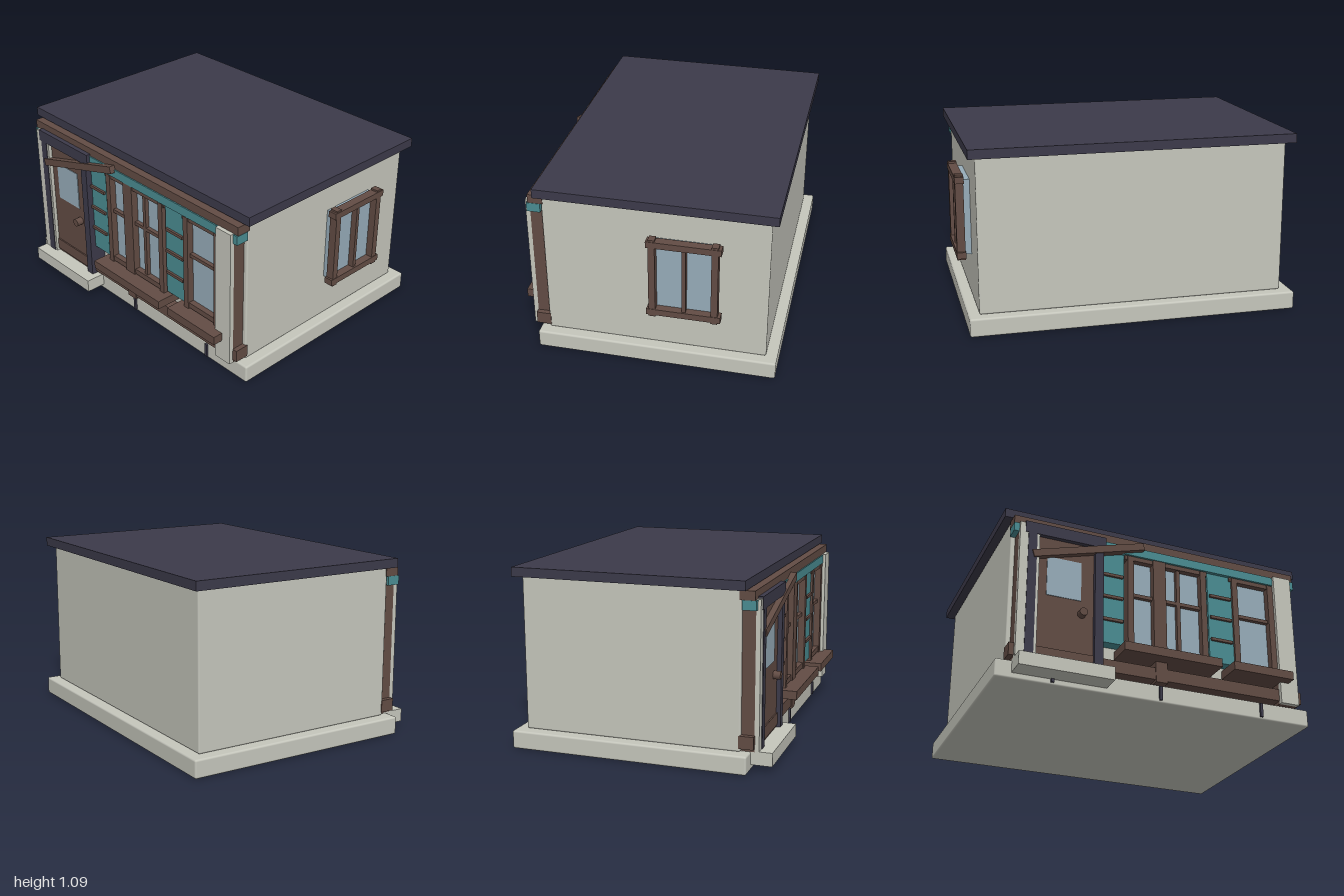
import * as THREE from 'three';
import { RoundedBoxGeometry } from 'three/addons/geometries/RoundedBoxGeometry.js';

const paint = (name, color) => {
  const m = new THREE.MeshStandardMaterial({ color });
  m.name = name;
  return m;
};

export function createModel() {
  const cream = paint('cream plaster', 0xc5c6bc);
  const brown = paint('brown timber', 0x624c44);
  const navy = paint('dark slate', 0x3c3a4a);
  const teal = paint('teal paint', 0x4a8c92);
  const glass = paint('window glass', 0x97acb9);

  const model = new THREE.Group();
  model.name = 'house';
  const group = (name) => {
    const g = new THREE.Group();
    g.name = name;
    model.add(g);
    return g;
  };

  // Box given by its limits on each axis; a radius rounds the edges
  const box = (parent, name, mat, [x0, x1], [y0, y1], [z0, z1], radius = 0) => {
    const size = [x1 - x0, y1 - y0, z1 - z0];
    const geo = radius
      ? new RoundedBoxGeometry(...size, 2, radius)
      : new THREE.BoxGeometry(...size);
    const mesh = new THREE.Mesh(geo, mat);
    mesh.name = name;
    mesh.position.set((x0 + x1) / 2, (y0 + y1) / 2, (z0 + z1) / 2);
    parent.add(mesh);
    return mesh;
  };

  // Foundation, walls and flat roof
  const shell = group('shell');
  box(shell, 'foundation', cream, [-1, 0.973], [0, 0.11], [-0.78, 0.655], 0.012);
  box(shell, 'walls', cream, [-0.93, 0.91], [0.11, 1.032], [-0.715, 0.6], 0.01);
  box(shell, 'roof', navy, [-0.98, 0.955], [1.03, 1.085], [-0.757, 0.635]);
  box(shell, 'doorStep', cream, [-0.905, -0.345], [0.035, 0.115], [0.6, 0.78]);
  for (const x of [-0.67, -0.013, 0.645]) {
    box(shell, 'foundationJoint', navy, [x - 0.009, x + 0.009], [0.015, 0.1], [0.64, 0.667]);
  }

  // Horizontal front beams and corner pillars
  const facade = group('facade');
  box(facade, 'topBeam', brown, [-0.935, 0.915], [0.972, 1.025], [0.59, 0.678]);
  box(facade, 'fascia', teal, [-0.937, 0.917], [0.917, 0.972], [0.605, 0.686]);
  box(facade, 'bottomBeam', brown, [-0.935, 0.915], [0.13, 0.205], [0.59, 0.678]);
  for (const [x0, x1] of [[-0.905, -0.785], [0.765, 0.885]]) {
    box(facade, 'cornerPost', brown, [x0, x1], [0.11, 0.975], [0.59, 0.676]);
    box(facade, 'cornerPillar', cream, [x0, x1], [0.11, 0.975], [0.676, 0.703]);
  }

  // Door with pane, kick board and knob
  const door = group('door');
  box(door, 'doorLeaf', brown, [-0.79, -0.44], [0.115, 0.972], [0.59, 0.68]);
  box(door, 'doorPane', glass, [-0.73, -0.52], [0.54, 0.79], [0.679, 0.684]);
  box(door, 'kickBoard', brown, [-0.785, -0.44], [0.13, 0.205], [0.67, 0.688]);
  const knob = new THREE.Mesh(new THREE.CylinderGeometry(0.025, 0.025, 0.045, 16), brown);
  knob.name = 'doorKnob';
  knob.rotation.x = Math.PI / 2;
  knob.position.set(-0.515, 0.455, 0.702);
  door.add(knob);

  // Dark door surround and leaning timber
  const porch = group('porch');
  for (const x of [-0.855, -0.442]) {
    box(porch, 'porchPost', navy, [x, x + 0.053], [0.115, 0.915], [0.6, 0.707]);
  }
  box(porch, 'porchLintel', navy, [-0.873, -0.373], [0.912, 0.985], [0.6, 0.707]);
  const brace = box(porch, 'leaningTimber', brown,
    [-0.838, -0.118], [0.85, 0.895], [0.66, 0.715]);
  brace.rotation.z = 0.285;
  brace.position.y = 0.876;

  // Shutters with brown slats
  const shutters = group('shutters');
  for (const [x0, x1] of [[-0.4, -0.245], [0.31, 0.475]]) {
    box(shutters, 'shutter', teal, [x0, x1], [0.315, 0.915], [0.59, 0.668]);
    for (const y of [0.463, 0.612, 0.757]) {
      box(shutters, 'slat', brown, [x0 + 0.01, x1 - 0.01], [y - 0.009, y + 0.009], [0.66, 0.682]);
    }
  }

  // Front windows: posts, mullions, rails, glass and sill
  const frontWindow = (name, [x0, x1], mullions, sill) => {
    const w = group(name);
    box(w, 'pane', glass, [x0 + 0.02, x1 - 0.02], [0.32, 0.9], [0.59, 0.64]);
    box(w, 'topRail', brown, [x0 - 0.015, x1 + 0.01], [0.888, 0.915], [0.59, 0.676]);
    box(w, 'bottomRail', brown, [x0, x1], [0.303, 0.337], [0.59, 0.676]);
    box(w, 'crossBar', brown, [x0, x1], [0.649, 0.671], [0.63, 0.665]);
    for (const x of [x0, x1 - 0.038]) {
      box(w, 'sidePost', brown, [x, x + 0.038], [0.29, 0.912], [0.59, 0.682]);
    }
    for (const m of mullions) box(w, 'mullion', brown, m, [0.32, 0.9], [0.63, 0.665]);
    box(w, 'sill', brown, sill, [0.243, 0.296], [0.59, 0.765]);
    return w;
  };
  const wide = frontWindow('wideWindow', [-0.225, 0.295], [[0.1, 0.124]], [-0.28, 0.34]);
  box(wide, 'centrePost', brown, [-0.06, 0.022], [0.3, 0.915], [0.59, 0.684]);
  box(wide, 'centrePostFoot', brown, [-0.052, 0.022], [0.115, 0.25], [0.59, 0.684]);
  frontWindow('narrowWindow', [0.475, 0.765], [], [0.42, 0.82]);

  // Projecting window on the right-hand wall
  const side = group('sideWindow');
  box(side, 'sidePane', glass, [0.9, 0.952], [0.385, 0.84], [-0.418, -0.055]);
  for (const z of [-0.438, -0.077]) {
    box(side, 'sideFramePost', brown, [0.948, 0.997], [0.357, 0.873], [z, z + 0.039]);
  }
  for (const y of [0.368, 0.823]) {
    box(side, 'sideFrameRail', brown, [0.946, 1], [y, y + 0.039], [-0.455, -0.025]);
  }
  box(side, 'sideMullion', brown, [0.948, 0.99], [0.38, 0.85], [-0.252, -0.23]);

  return model;
}
